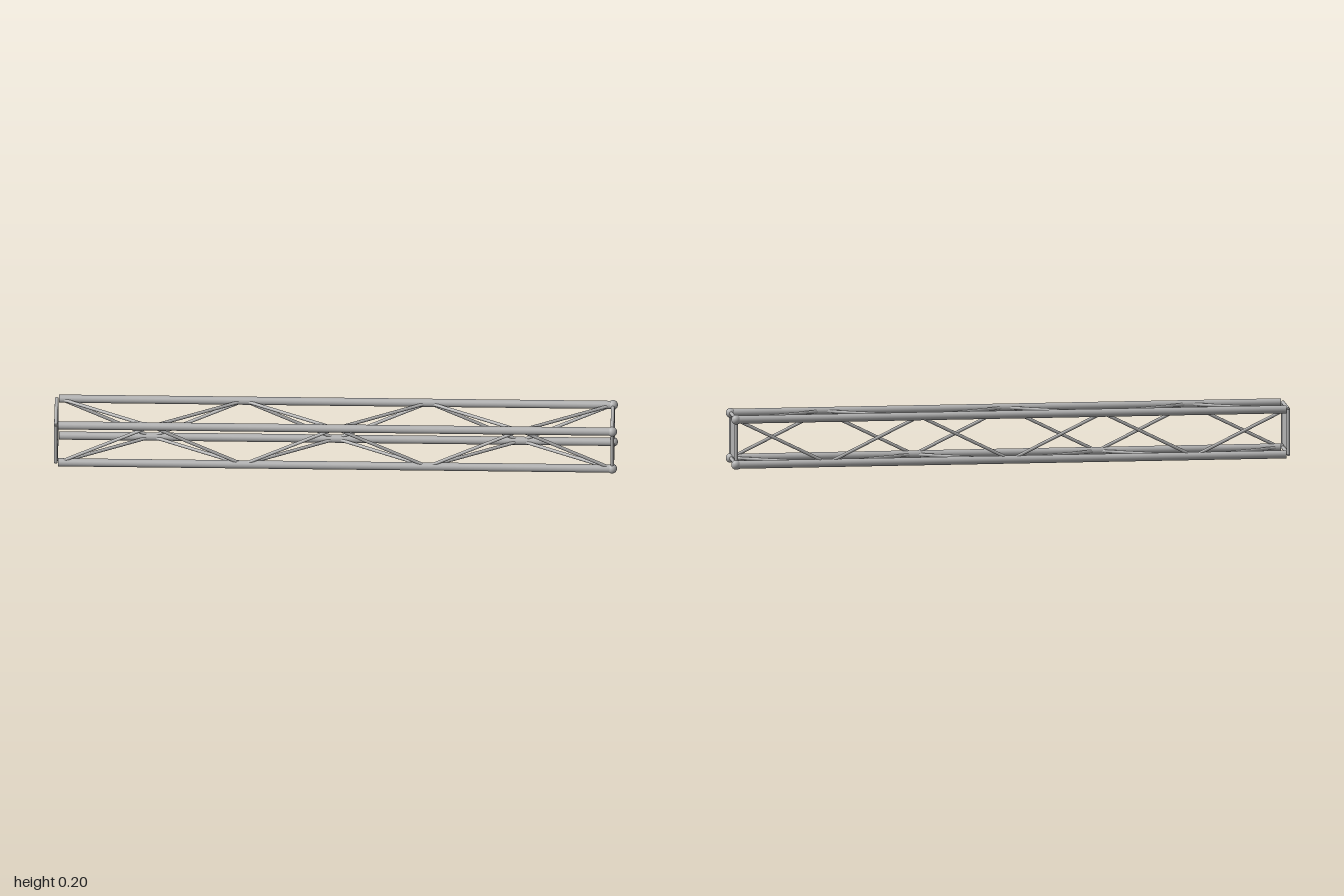
import * as THREE from 'three';

export function createModel() {
  const group = new THREE.Group();
  group.name = 'boxTruss';
  const steel = new THREE.MeshStandardMaterial({ color: 0xb4b4b4 });
  steel.name = 'grey steel';

  const END = 0.983, LOW = 0.018, HIGH = 0.18, Z = 0.081, BAYS = 6;
  const UP = new THREE.Vector3(0, 1, 0);
  const add = (name, geometry) => {
    const mesh = new THREE.Mesh(geometry, steel);
    mesh.name = name;
    group.add(mesh);
    return mesh;
  };
  // Round tube between two points
  const tube = (name, a, b, radius, sides = 12) => {
    const dir = b.clone().sub(a);
    const mesh = add(name, new THREE.CylinderGeometry(radius, radius, dir.length(), sides));
    mesh.position.copy(a).add(b).multiplyScalar(0.5);
    mesh.quaternion.setFromUnitVectors(UP, dir.normalize());
  };

  // Corners in order around the square section
  const corners = [[LOW, Z], [HIGH, Z], [HIGH, -Z], [LOW, -Z]];
  const at = (x, i) => new THREE.Vector3(x, corners[i % 4][0], corners[i % 4][1]);
  const node = (n) => -END + (2 * END * n) / BAYS;

  for (let i = 0; i < 4; i++) {
    // Main chords with ball connectors on one end
    tube('chord', at(-END - 0.002, i), at(END, i), 0.0145, 20);
    add('ballConnector', new THREE.SphereGeometry(0.0175, 24, 16)).position.copy(at(END, i));

    // Square end frames
    for (const x of [-0.993, END]) tube('endFrameBar', at(x, i), at(x, i + 1), 0.0065);

    // Zigzag bracing: even nodes on even corners, odd nodes on odd corners
    for (let n = 0; n < BAYS; n++) {
      const start = (n + i) % 2 === 0 ? i : i + 1;
      const finish = start === i ? i + 1 : i;
      tube('diagonalBrace', at(node(n), start), at(node(n + 1), finish), 0.006, 10);
    }
  }

  // Thin square plates inside the end frames
  for (const x of [-0.991, END]) {
    add('endPlate', new THREE.BoxGeometry(0.005, 0.128, 0.128)).position.set(x, (LOW + HIGH) / 2, 0);
  }
  return group;
}
